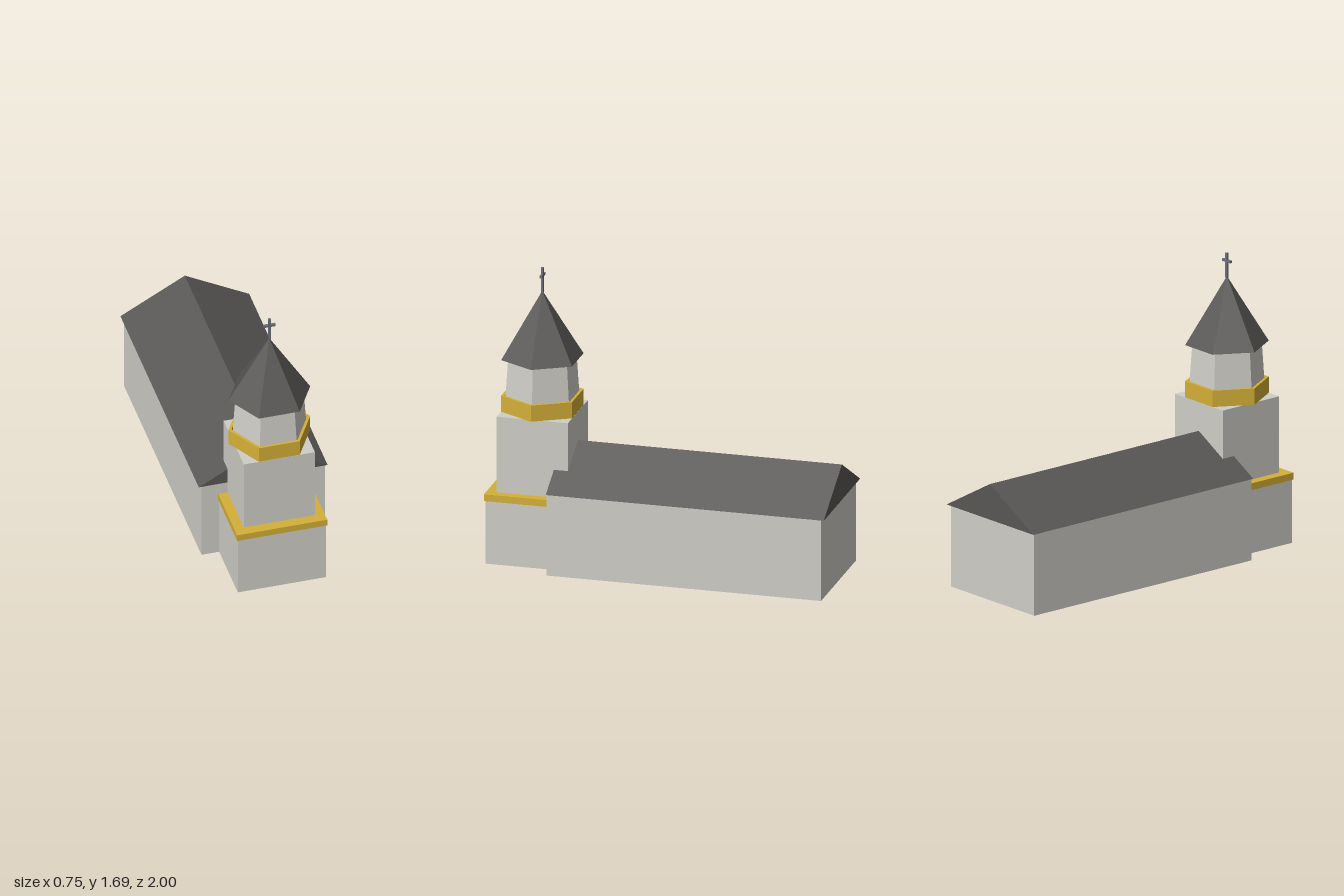
import * as THREE from 'three';

const WALL = 0xd0cec7, ROOF = 0x595755, GOLD = 0xd4af37, WOOD = 0x6b4423, METAL = 0x6c7079;
const TOWER_Z = 0.735;

export function createModel() {
  const model = new THREE.Group();

  const add = (name, geometry, color, x, y, z, parent = model, side = THREE.FrontSide) => {
    const material = new THREE.MeshStandardMaterial({ color, flatShading: true, side });
    const mesh = new THREE.Mesh(geometry, material);
    mesh.name = name;
    mesh.position.set(x, y, z);
    parent.add(mesh);
    return mesh;
  };

  // Four walls without floor or ceiling
  const wallsGeometry = (w, h, d) => {
    const g = new THREE.BoxGeometry(w, h, d);
    const index = Array.from(g.index.array);
    index.splice(12, 12); // drop the top and bottom faces
    g.setIndex(index);
    g.clearGroups();
    return g;
  };

  // Six-sided frustum with corners on the x axis
  const hexagon = (top, bottom, h) =>
    new THREE.CylinderGeometry(top, bottom, h, 6, 1, false, Math.PI / 2);

  // Nave: open-bottomed walls under a gabled roof
  add('naveWalls', wallsGeometry(0.715, 0.48, 1.59), WALL, 0, 0.24, -0.185, model, THREE.DoubleSide);
  const gable = new THREE.Shape([
    new THREE.Vector2(-0.373, 0),
    new THREE.Vector2(0.373, 0),
    new THREE.Vector2(0, 0.208),
  ]);
  const roof = new THREE.ExtrudeGeometry(gable, { depth: 1.61, bevelEnabled: false });
  add('naveRoof', roof, ROOF, 0, 0.48, -1);

  // Tower, set into the front of the nave
  const tower = new THREE.Group();
  tower.name = 'tower';
  tower.position.z = TOWER_Z;
  model.add(tower);

  add('towerBase', wallsGeometry(0.51, 0.37, 0.515), WALL, 0, 0.185, 0, tower, THREE.DoubleSide);
  add('towerLedge', new THREE.BoxGeometry(0.522, 0.04, 0.53), GOLD, 0, 0.39, 0, tower);
  add('towerShaft', new THREE.BoxGeometry(0.412, 0.445, 0.412), WALL, 0, 0.6325, 0, tower);

  // Timber posts inside the base corners
  for (const x of [-1, 1]) {
    for (const z of [-1, 1]) {
      add('cornerPost', new THREE.BoxGeometry(0.04, 0.37, 0.04), WOOD, x * 0.21, 0.185, z * 0.215, tower);
    }
  }

  // Hexagonal parapet ring around the belfry
  const ringProfile = [
    [0.219, 0], [0.237, 0], [0.237, 0.095], [0.219, 0.095], [0.219, 0],
  ].map(([r, y]) => new THREE.Vector2(r, y));
  add('parapet', new THREE.LatheGeometry(ringProfile, 6, Math.PI / 2), GOLD, 0, 0.855, 0, tower);

  // Belfry and spire
  add('belfry', hexagon(0.197, 0.218, 0.305), WALL, 0, 1.0075, 0, tower);
  add('spire', hexagon(0, 0.237, 0.39), ROOF, 0, 1.355, 0, tower);

  // Cross on the spire
  const cross = new THREE.Group();
  cross.name = 'cross';
  cross.position.y = 1.54;
  tower.add(cross);
  add('crossUpright', new THREE.BoxGeometry(0.014, 0.146, 0.014), METAL, 0, 0.073, 0, cross);
  add('crossArm', new THREE.BoxGeometry(0.07, 0.014, 0.014), METAL, 0, 0.1, 0, cross);

  return model;
}
